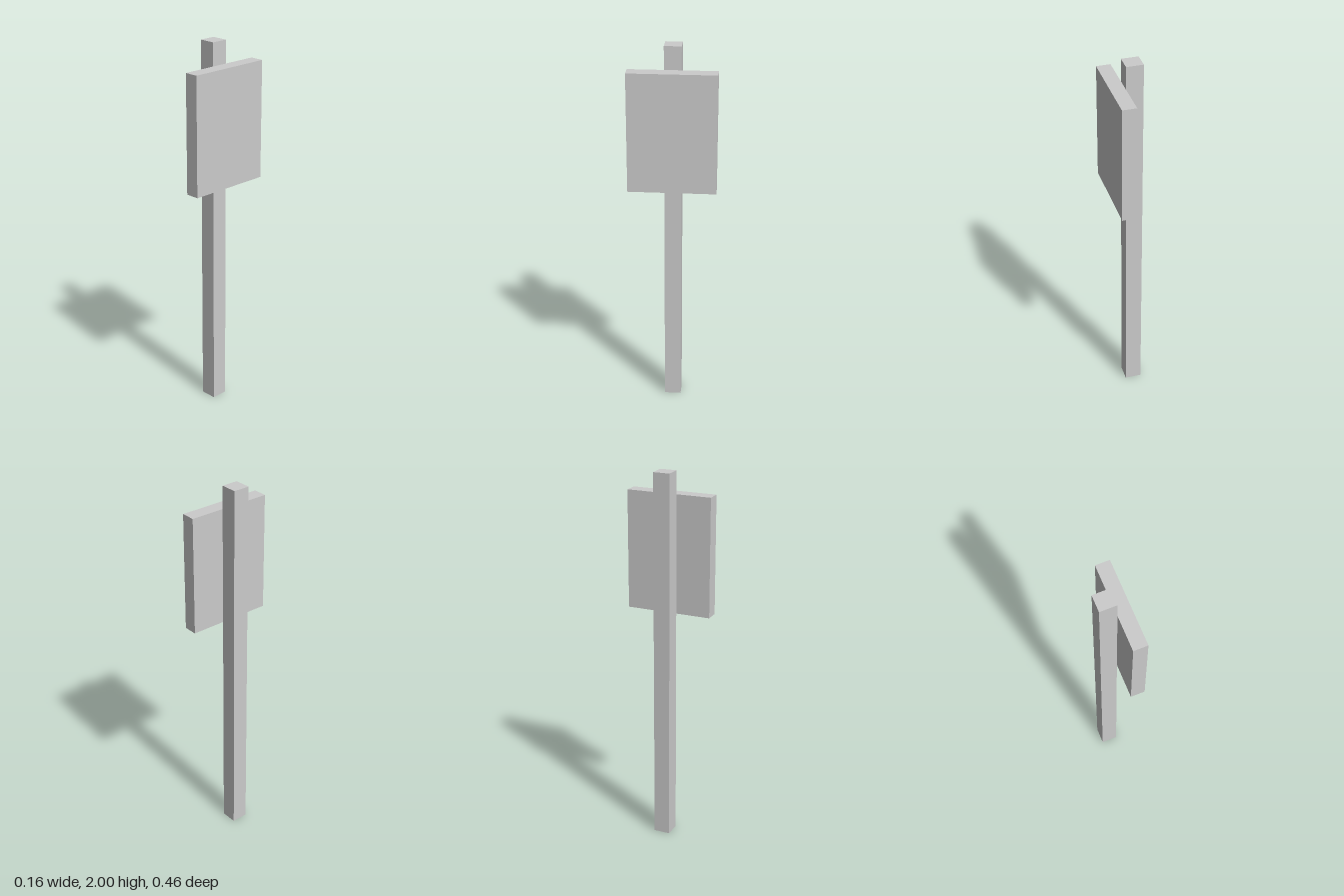
import * as THREE from 'three';

const material = new THREE.MeshStandardMaterial({ color: 0xcccccc, flatShading: true });

// Box spanning the given x and y ranges, centred on z = 0
function block(name, [x0, x1], [y0, y1], depth) {
  const mesh = new THREE.Mesh(new THREE.BoxGeometry(x1 - x0, y1 - y0, depth), material);
  mesh.position.set((x0 + x1) / 2, (y0 + y1) / 2, 0);
  mesh.name = name;
  return mesh;
}

export function createModel() {
  const group = new THREE.Group();
  group.name = 'signPost';
  const joint = 0.007; // plane where the board meets the post

  // Tall square post
  group.add(block('post', [-0.081, joint], [0, 2], 0.088));
  // Thick board fixed to the post's left side
  group.add(block('board', [joint, 0.081], [1.255, 1.88], 0.455));

  return group;
}
